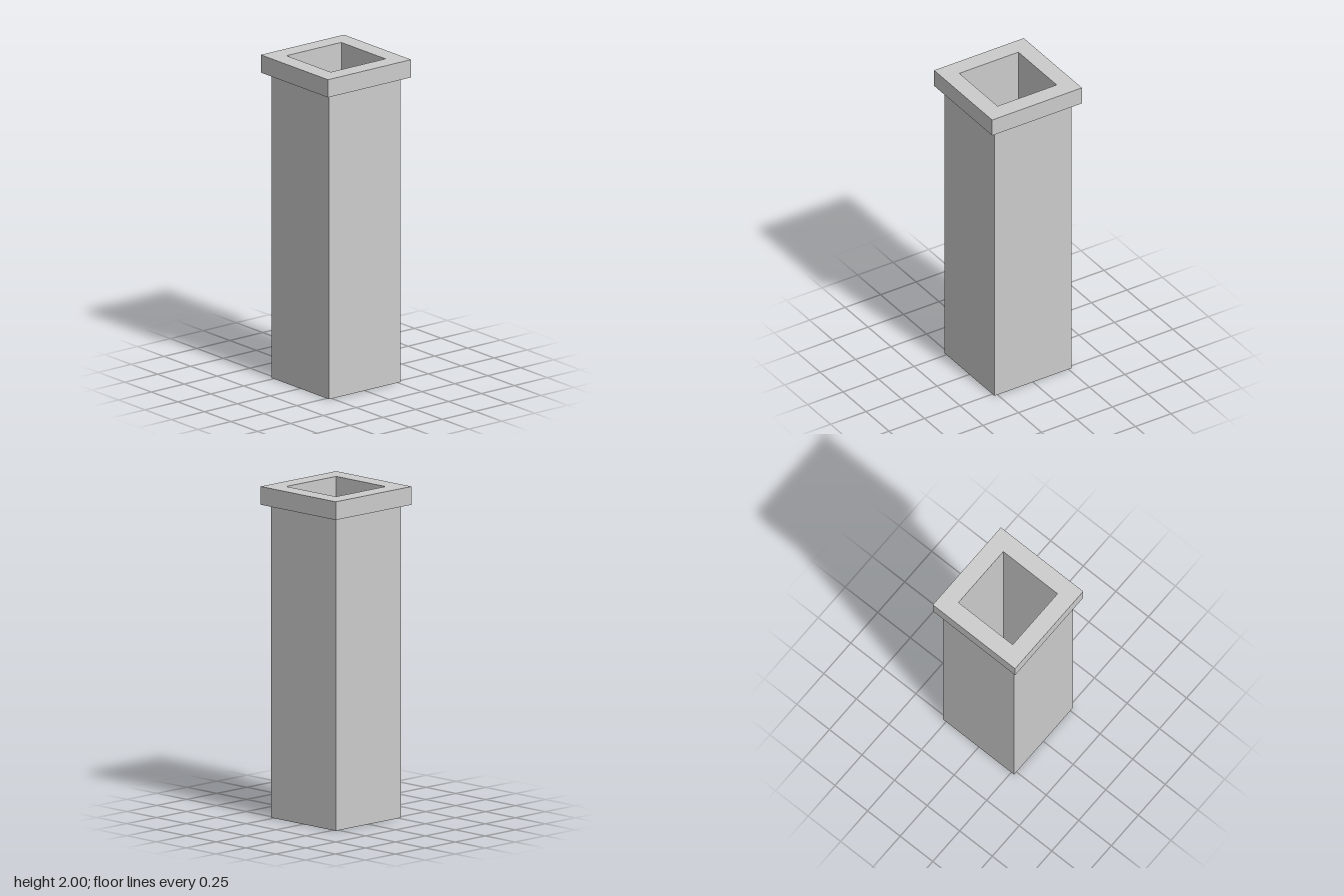
import * as THREE from 'three';

const material = new THREE.MeshStandardMaterial({ color: 0xcccccc, flatShading: true });

// Half widths and heights
const OUTER = 0.272, INNER = 0.208, RIM = 0.316;
const HEIGHT = 2, RIM_BASE = 1.89, FLOOR = 0.07;

// Turns a [half width, height] profile into a square, four-sided solid
function squareLathe(name, profile) {
  const points = profile.map(([w, y]) => new THREE.Vector2(w * Math.SQRT2, y));
  const geometry = new THREE.LatheGeometry(points, 4, Math.PI / 4).toNonIndexed();
  geometry.computeVertexNormals();
  const mesh = new THREE.Mesh(geometry, material);
  mesh.name = name;
  return mesh;
}

export function createModel() {
  const group = new THREE.Group();
  group.name = 'squareHollowColumn';

  // Closed base and outer walls, up to the underside of the rim
  group.add(squareLathe('outerShaft', [[0, 0], [OUTER, 0], [OUTER, RIM_BASE]]));

  // Overhanging rim: underside, sides and top face around the opening
  group.add(squareLathe('rim', [[OUTER, RIM_BASE], [RIM, RIM_BASE], [RIM, HEIGHT], [INNER, HEIGHT]]));

  // Inner walls and floor of the hollow
  group.add(squareLathe('innerShaft', [[INNER, HEIGHT], [INNER, FLOOR], [0, FLOOR]]));

  return group;
}
